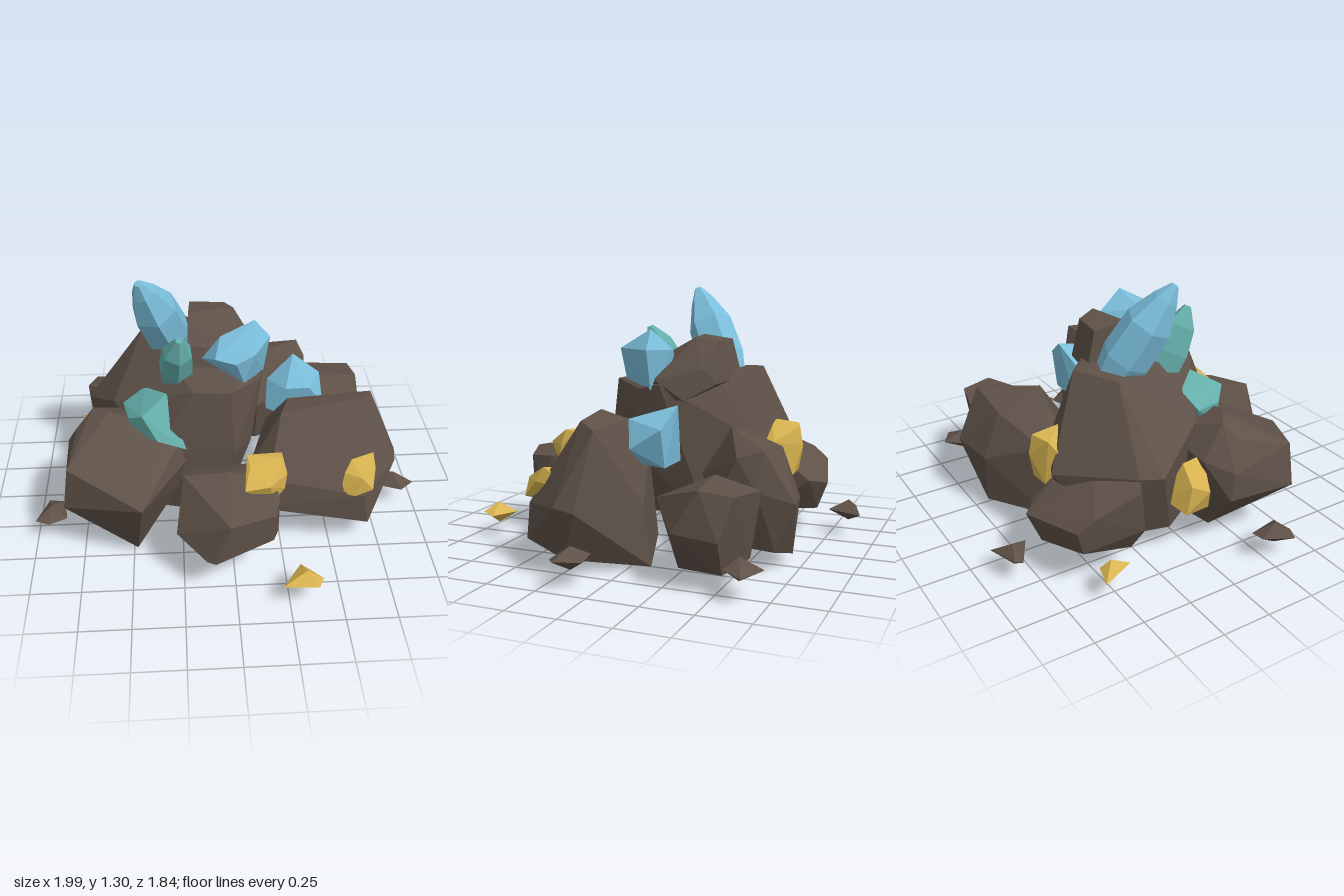
import * as THREE from 'three';
import { ConvexGeometry } from 'three/addons/geometries/ConvexGeometry.js';

function material(name, color) {
  const m = new THREE.MeshStandardMaterial({ color, flatShading: true });
  m.name = name;
  return m;
}

export function createModel() {
  const group = new THREE.Group();
  const brown = material('rock brown', 0x5e5148);
  const blue = material('crystal blue', 0x7bbfdc);
  const teal = material('crystal teal', 0x64ada9);
  const gold = material('ore gold', 0xd9b450);

  function add(name, geometry, mat) {
    const mesh = new THREE.Mesh(geometry, mat);
    mesh.name = name;
    group.add(mesh);
  }
  // Faceted solid wrapped around a few corner points
  const hull = (name, mat, pts) =>
    add(name, new ConvexGeometry(pts.map((p) => new THREE.Vector3(...p))), mat);

  // Pointed shard: rings of corners along an axis from base to tip
  function shard(name, mat, base, tip, radius, sides, profile) {
    const a = new THREE.Vector3(...base), b = new THREE.Vector3(...tip);
    const q = new THREE.Quaternion().setFromUnitVectors(
      new THREE.Vector3(0, 1, 0), b.clone().sub(a).normalize());
    const pts = [];
    for (const [t, r] of profile) {
      for (let i = 0; i < sides; i++) {
        const n = (i / sides) * Math.PI * 2 + 0.4;
        pts.push(new THREE.Vector3(Math.cos(n), 0, Math.sin(n)).multiplyScalar(r * radius)
          .applyQuaternion(q).add(a.clone().lerp(b, t)));
      }
    }
    add(name, new ConvexGeometry(pts), mat);
  }

  // Main boulders
  hull('rightBoulder', brown, [
    [0.25, 0.7, 0.29], [0.64, 0.705, 0.2], [0.73, 0.68, 0.09], [0.3, 0.67, 0.12], [0.88, 0.33, 0.12],
    [0.86, 0.34, 0.23], [0.78, 0.08, 0.22], [0.5, 0.0, -0.09], [0.69, 0.13, 0.47], [0.66, 0.3, 0.47],
    [0.12, 0.26, 0.48], [0.09, 0.4, 0.33], [0.08, 0.08, 0.2], [0.2, 0.5, 0.05], [0.2, 0.07, 0.0],
    [0.52, 0.3, -0.06], [0.18, 0.42, 0.46]]);
  hull('leftBoulder', brown, [
    [-0.44, 0.42, 0.67], [-0.48, 0.03, 0.48], [-0.83, 0.3, 0.47], [-0.8, 0.52, 0.46], [-0.82, 0.46, 0.12],
    [-0.82, 0.32, 0.1], [-0.76, 0.59, 0.2], [-0.68, 0.665, 0.14], [-0.6, 0.675, 0.2],
    [-0.3, 0.62, 0.26], [-0.24, 0.58, 0.3], [-0.22, 0.46, 0.33], [-0.26, 0.28, 0.3],
    [-0.59, 0.05, 0.15], [-0.35, 0.1, 0.05], [-0.7, 0.5, 0.02], [-0.4, 0.55, -0.02]]);
  hull('frontBoulder', brown, [
    [-0.24, 0.48, 0.48], [-0.02, 0.49, 0.48], [0.18, 0.46, 0.5], [0.22, 0.43, 0.6],
    [-0.03, 0.43, 0.82], [0.19, 0.42, 0.73], [-0.1, 0.22, 0.83], [-0.14, 0.22, 0.81],
    [0.18, 0.12, 0.42], [0.21, 0.26, 0.65], [0.18, 0.27, 0.73], [-0.23, 0.14, 0.55], [-0.28, 0.27, 0.66],
    [-0.16, 0.4, 0.3], [0.15, 0.4, 0.3], [-0.16, 0.12, 0.33], [0.13, 0.12, 0.33]]);
  hull('centreBoulder', brown, [
    [-0.43, 0.88, -0.28], [-0.24, 0.9, -0.41], [-0.01, 0.86, -0.22], [0.12, 0.85, 0.0],
    [0.19, 0.83, 0.0], [0.16, 0.8, 0.12], [0.0, 0.83, 0.31], [-0.18, 0.83, 0.29], [-0.58, 0.64, 0.05],
    [-0.73, 0.5, -0.22], [-0.68, 0.5, -0.32], [-0.35, 0.45, -0.6], [-0.1, 0.5, -0.48],
    [0.11, 0.48, 0.2], [0.02, 0.5, 0.34], [-0.38, 0.5, 0.33], [-0.61, 0.13, -0.1],
    [-0.56, 0.14, -0.35], [-0.12, 0.15, -0.43], [0.04, 0.14, -0.2], [-0.05, 0.12, 0.34], [-0.38, 0.12, 0.25]]);
  hull('topBoulder', brown, [
    [-0.19, 1.06, -0.1], [0.04, 1.06, -0.14], [-0.18, 1.04, -0.26], [0.0, 1.04, -0.24],
    [-0.19, 0.84, -0.31], [0.05, 0.83, -0.26], [0.1, 0.91, -0.19], [0.16, 0.75, -0.12],
    [0.19, 0.85, 0.02], [0.02, 0.94, 0.08], [-0.2, 0.95, 0.05], [-0.15, 0.75, 0.12], [0.1, 0.75, 0.12]]);
  hull('backLeftBoulder', brown, [
    [-0.7, 0.34, -0.66], [-0.35, 0.28, -0.74], [-0.27, 0.3, -0.66], [-0.27, 0.4, -0.52],
    [-0.75, 0.48, -0.36], [-0.72, 0.4, -0.58], [-0.62, 0.5, -0.28], [-0.48, 0.46, -0.45],
    [-0.68, 0.21, -0.62], [-0.38, 0.13, -0.68], [-0.27, 0.13, -0.45], [-0.64, 0.12, -0.34], [-0.73, 0.26, -0.32]]);
  hull('backBoulder', brown, [
    [-0.1, 0.44, -0.52], [-0.1, 0.5, -0.4], [0.03, 0.6, -0.42], [0.18, 0.64, -0.38], [0.16, 0.56, -0.63],
    [0.44, 0.585, -0.62], [0.47, 0.55, -0.5], [0.48, 0.4, -0.6], [0.47, 0.38, -0.42],
    [0.39, 0.34, -0.76], [0.16, 0.32, -0.72], [0.2, 0.05, -0.7], [-0.1, 0.05, -0.5],
    [0.38, 0.1, -0.66], [-0.05, 0.12, -0.38], [0.4, 0.12, -0.45], [0.18, 0.4, -0.23], [0.18, 0.15, -0.28]]);
  hull('backRightBoulder', brown, [
    [0.5, 0.42, -0.63], [0.48, 0.47, -0.4], [0.74, 0.44, -0.58], [0.76, 0.46, -0.42],
    [0.81, 0.25, -0.53], [0.78, 0.26, -0.3], [0.53, 0.35, -0.13], [0.36, 0.38, -0.26],
    [0.34, 0.3, -0.4], [0.72, 0.08, -0.52], [0.5, 0.1, -0.58], [0.58, 0.04, -0.26], [0.4, 0.1, -0.28]]);

  // Large crystals
  shard('tallCrystal', blue, [-0.25, 0.8, -0.22], [-0.43, 1.3, 0.03], 0.125, 6,
    [[0, 0.75], [0.25, 1], [0.6, 0.95], [0.85, 0.5], [0.98, 0.16]]);
  hull('upperCrystal', blue, [
    [0.13, 1.1, 0.07], [0.21, 1.0, 0.06], [0.18, 0.8, 0.05], [0.07, 0.84, 0.23], [0.03, 0.96, 0.26],
    [0.12, 1.0, 0.24], [-0.13, 0.91, 0.1], [-0.07, 0.97, 0.22], [-0.04, 1.03, 0.1],
    [0.12, 1.0, -0.05], [0.1, 0.8, -0.02], [-0.05, 0.85, 0.0]]);
  hull('sideCrystal', blue, [
    [0.36, 0.76, -0.17], [0.3, 0.68, 0.05], [0.42, 0.69, 0.06], [0.22, 0.64, -0.12], [0.5, 0.66, -0.14],
    [0.5, 0.56, 0.02], [0.2, 0.55, 0.02], [0.45, 0.47, -0.14], [0.25, 0.47, -0.14], [0.36, 0.46, 0.02]]);
  shard('tealSpike', teal, [-0.27, 0.76, 0.06], [-0.24, 1.1, 0.24], 0.09, 6,
    [[0, 0.8], [0.35, 1], [0.7, 0.85], [0.97, 0.2]]);
  hull('tealCrystal', teal, [
    [-0.53, 0.67, 0.11], [-0.5, 0.67, 0.25], [-0.43, 0.72, 0.32], [-0.31, 0.78, 0.21], [-0.42, 0.74, 0.08],
    [-0.36, 0.6, 0.36], [-0.22, 0.54, 0.35], [-0.3, 0.55, 0.2], [-0.48, 0.57, 0.15], [-0.49, 0.57, 0.25]]);

  // Ore nuggets set in the rocks
  hull('frontNugget', gold, [
    [0.07, 0.57, 0.45], [0.24, 0.57, 0.44], [0.24, 0.58, 0.5], [0.08, 0.55, 0.52], [0.26, 0.5, 0.52],
    [0.17, 0.5, 0.62], [0.05, 0.48, 0.62], [0.06, 0.44, 0.48], [0.19, 0.37, 0.57], [0.25, 0.42, 0.53],
    [0.18, 0.4, 0.44]]);
  hull('rightNugget', gold, [
    [0.71, 0.49, 0.36], [0.6, 0.465, 0.38], [0.56, 0.42, 0.43], [0.54, 0.32, 0.46], [0.64, 0.42, 0.48],
    [0.72, 0.42, 0.4], [0.7, 0.34, 0.47], [0.61, 0.31, 0.48], [0.6, 0.36, 0.3]]);
  hull('backNugget', gold, [
    [-0.31, 0.6, -0.59], [-0.2, 0.6, -0.62], [-0.22, 0.63, -0.47], [-0.34, 0.54, -0.55], [-0.2, 0.5, -0.64],
    [-0.08, 0.53, -0.52], [-0.09, 0.5, -0.4], [-0.28, 0.36, -0.6], [-0.16, 0.35, -0.6], [-0.2, 0.4, -0.42]]);
  hull('leftNugget', gold, [
    [-0.66, 0.5, -0.07], [-0.65, 0.51, 0.05], [-0.73, 0.4, -0.06], [-0.75, 0.36, 0.03],
    [-0.72, 0.25, -0.08], [-0.7, 0.24, 0.06], [-0.6, 0.3, -0.14], [-0.58, 0.36, 0.07]]);

  // Loose chips around the pile: an outline in plan (x, z) between two points
  const chips = [
    ['leftPebble', brown, [[-1, 0.36], [-0.94, 0.21], [-0.86, 0.21], [-0.84, 0.36], [-0.93, 0.39]]],
    ['rightPebble', brown, [[0.78, 0.16], [0.81, 0.07], [0.91, 0.06], [0.99, 0.17], [0.92, 0.22]]],
    ['backPebble', brown, [[-0.49, -0.83], [-0.48, -0.87], [-0.32, -0.92], [-0.35, -0.75]]],
    ['cornerPebble', brown, [[0.65, -0.57], [0.74, -0.72], [0.86, -0.65], [0.8, -0.55], [0.66, -0.54]]],
    ['leftOreChip', gold, [[-0.83, -0.59], [-0.72, -0.56], [-0.69, -0.5], [-0.76, -0.42]]],
    ['frontOreChip', gold, [[0.21, 0.9], [0.31, 0.76], [0.41, 0.85], [0.38, 0.92]]]];
  for (const [name, mat, outline] of chips) {
    const cx = outline.reduce((s, p) => s + p[0], 0) / outline.length;
    const cz = outline.reduce((s, p) => s + p[1], 0) / outline.length;
    hull(name, mat, [[cx, 0.185, cz], [cx, 0.075, cz],
      ...outline.map(([x, z], i) => [x, 0.125 + 0.012 * (i % 2), z])]);
  }
  return group;
}
